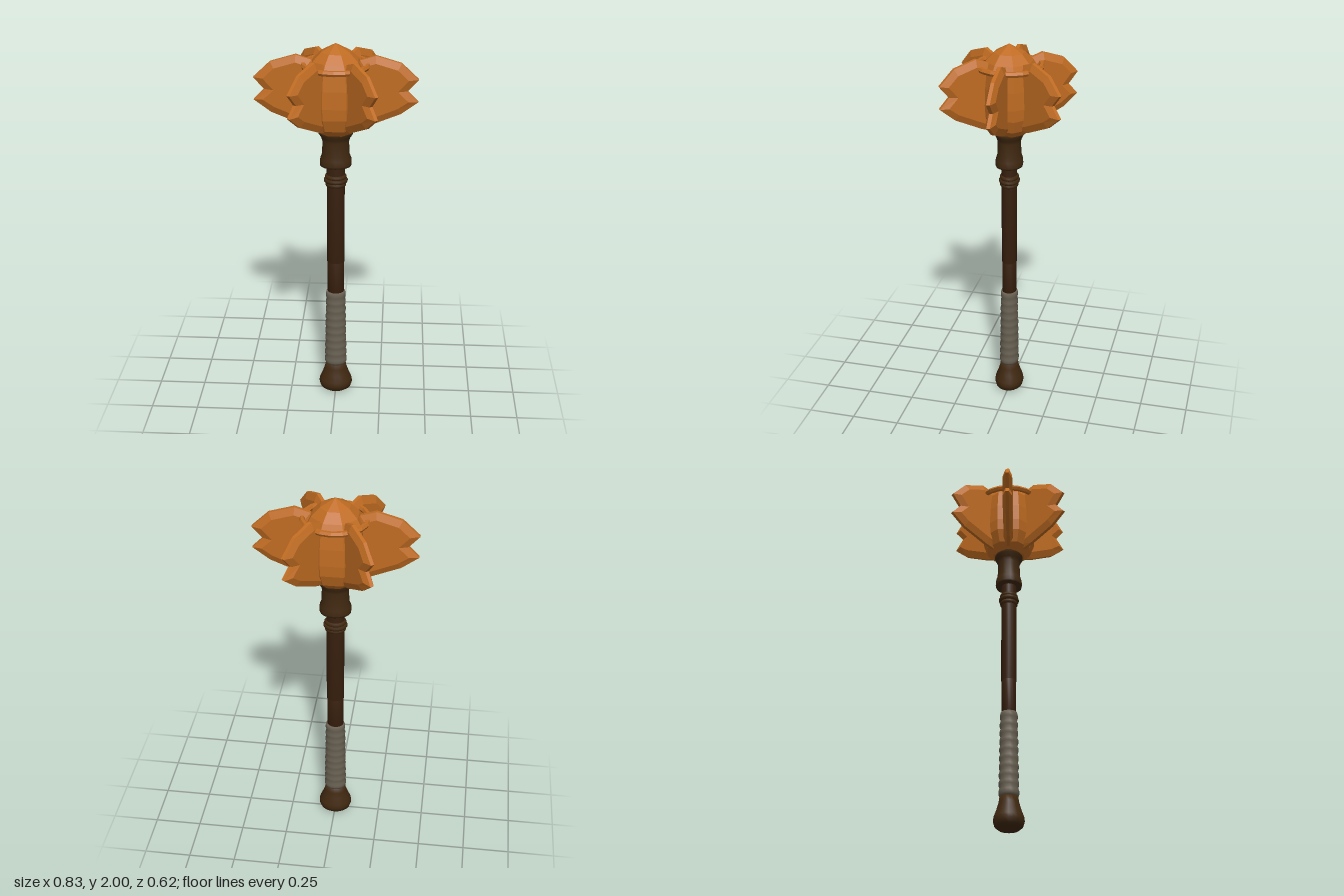
import * as THREE from 'three';

const material = (name, color, extra = {}) => {
  const m = new THREE.MeshStandardMaterial({ color, ...extra });
  m.name = name;
  return m;
};

export function createModel() {
  const model = new THREE.Group();
  model.name = 'flangedMace';
  const copper = material('copper head', 0xc06c22, { flatShading: true });
  const fitting = material('dark fittings', 0x402810);
  const wood = material('dark wood', 0x371f0d);
  const wrap = material('grey wrap', 0x686052);

  const add = (parent, name, geometry, mat) => {
    const mesh = new THREE.Mesh(geometry, mat);
    mesh.name = name;
    parent.add(mesh);
    return mesh;
  };
  const lathe = (points, sides, start = 0) =>
    new THREE.LatheGeometry(points.map(([r, y]) => new THREE.Vector2(r, y)), sides, start);

  // Handle, slightly oval in section
  const handle = new THREE.Group();
  handle.name = 'handle';
  handle.scale.z = 0.86;
  model.add(handle);

  add(handle, 'pommel', lathe([[0, 0], [0.06, 0.003], [0.084, 0.02], [0.092, 0.045],
    [0.089, 0.068], [0.073, 0.105], [0.061, 0.14], [0.055, 0.17], [0, 0.17]], 20), fitting);
  add(handle, 'lowerShaft', lathe([[0, 0.6], [0.044, 0.6], [0.044, 0.8], [0, 0.8]], 16), wood);
  add(handle, 'upperShaft', lathe([[0, 0.8], [0.047, 0.8], [0.047, 1.36], [0, 1.36]], 16), wood);

  // Grip with a swelling for every turn of the wrap
  const grip = [[0, 0.165]];
  const turns = 10;
  for (let i = 0; i < turns; i++) {
    const y = 0.17 + i * 0.045;
    const r = 0.061 - i * 0.0008;
    grip.push([r - 0.005, y], [r, y + 0.014], [r, y + 0.031]);
  }
  grip.push([0.05, 0.62], [0, 0.62]);
  add(handle, 'grip', lathe(grip, 18), wrap);

  // Stacked collar below the socket
  [1.25, 1.272, 1.292].forEach((y, i) => {
    const r = [0.055, 0.063, 0.057][i];
    add(handle, 'collarRing', lathe([[0.04, y - 0.011], [r - 0.005, y - 0.011], [r, y - 0.004],
      [r, y + 0.004], [r - 0.005, y + 0.011], [0.04, y + 0.011]], 18), fitting);
  });

  add(handle, 'socket', lathe([[0.04, 1.355], [0.081, 1.355], [0.083, 1.365], [0.081, 1.393],
    [0.071, 1.42], [0.069, 1.49], [0.076, 1.51], [0.089, 1.53], [0.089, 1.545], [0, 1.55]], 18), fitting);

  // Eight-sided head core rising to a point
  add(model, 'headCore', lathe([[0, 1.535], [0.09, 1.54], [0.125, 1.575], [0.15, 1.64],
    [0.155, 1.7], [0.152, 1.79], [0.142, 1.88], [0.122, 1.915], [0.078, 1.958], [0, 2]],
    8, Math.PI / 8), copper);

  // Band passing through the blades
  const band = add(model, 'headBand', new THREE.TorusGeometry(0.163, 0.015, 6, 20), copper);
  band.rotation.x = Math.PI / 2;
  band.position.y = 1.89;

  // Six bevelled blades, each with a notched outer edge
  const outline = [[0.07, 1.548], [0.17, 1.576], [0.328, 1.64], [0.415, 1.704], [0.36, 1.76],
    [0.415, 1.82], [0.328, 1.902], [0.2, 1.94], [0.12, 1.915], [0.08, 1.84]];
  const blade = new THREE.ExtrudeGeometry(
    new THREE.Shape(outline.map(([x, y]) => new THREE.Vector2(x, y))),
    { depth: 0.018, bevelEnabled: true, bevelThickness: 0.016, bevelSize: 0.035, bevelOffset: -0.035, bevelSegments: 1 });
  blade.translate(0, 0, -0.009);
  for (const degrees of [0, 55, 125, 180, 235, 305]) {
    const mesh = add(model, 'blade', blade, copper);
    mesh.rotation.y = THREE.MathUtils.degToRad(degrees);
    if (degrees % 180) mesh.scale.x = 0.89;
  }
  return model;
}
